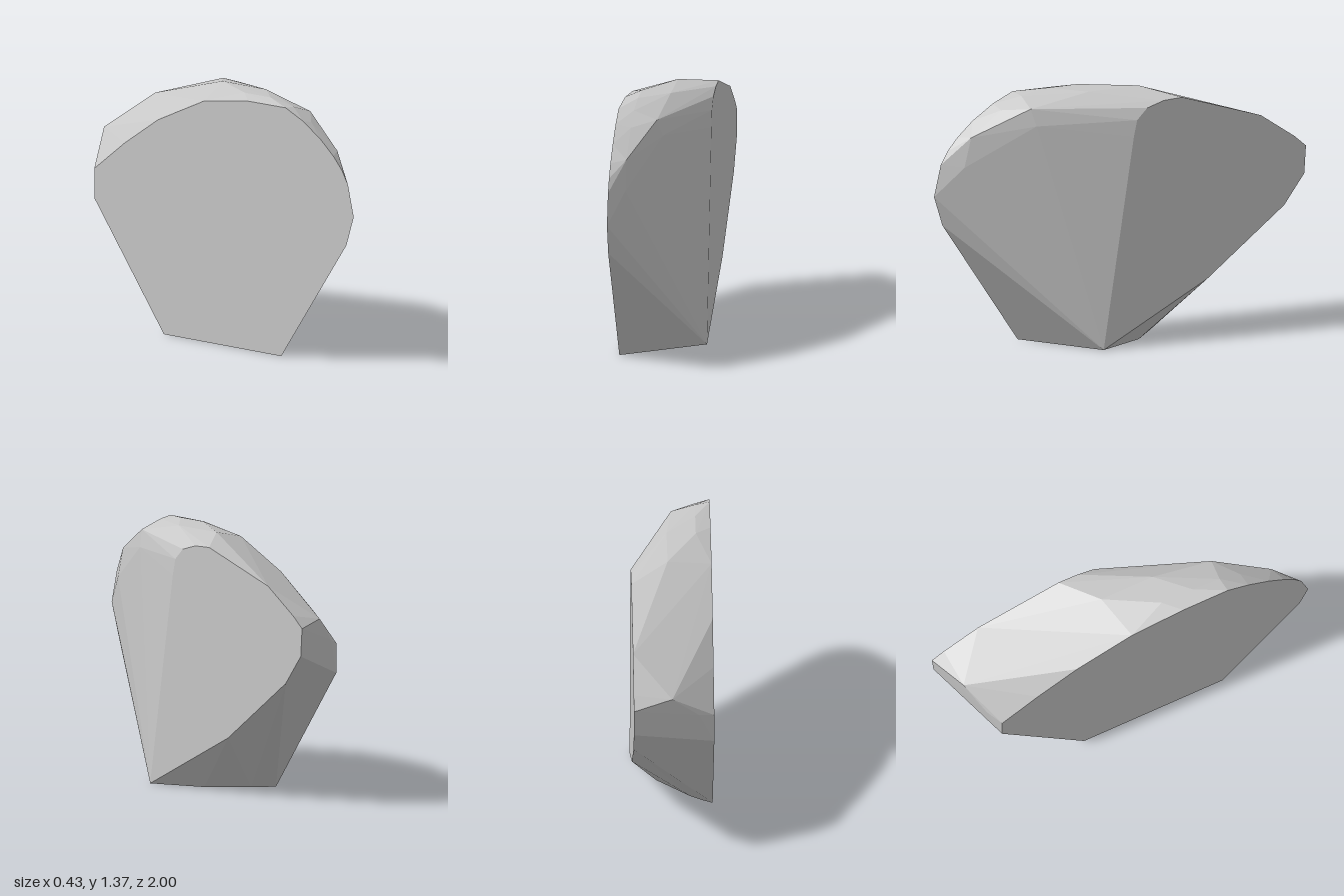
import * as THREE from 'three';
import { ConvexGeometry } from 'three/addons/geometries/ConvexGeometry.js';

// Outline of the flat left-hand slab face, as [z, y]
const wideFace = [
  [0.5, 0], [0.95, 0.67], [1, 0.83], [0.96, 1], [0.92, 1.07], [0.86, 1.14],
  [0.77, 1.22], [0.65, 1.3], [0.53, 1.355], [0.27, 1.353], [-0.03, 1.31],
  [-0.35, 1.16], [-0.58, 1.0], [-0.79, 0.83], [-0.79, 0.67], [-0.31, 0],
];

// Outline of the opposite slab face, as [z, y]
const narrowFace = [
  [0.21, 0], [0.03, 1.14], [0.01, 1.23], [-0.05, 1.29], [-0.15, 1.32],
  [-0.26, 1.325], [-0.73, 1.175], [-0.93, 1.04], [-1, 0.98], [-0.99, 0.83],
  [-0.87, 0.67], [-0.41, 0.32],
];

// Chipped corners between the two faces, as [x, y, z]
const chips = [
  // front
  [-0.135, 0.99, 0.86], [-0.135, 1.15, 0.82], [-0.135, 1.28, 0.64],
  [-0.01, 1.3, 0.53], [0.02, 1.21, 0.51], [0.03, 1.14, 0.49],
  // crown
  [-0.135, 1.345, 0.52], [-0.135, 1.372, 0.36], [-0.135, 1.372, 0.18],
  [0.02, 1.365, 0.2], [0.02, 1.366, -0.1],
  // back
  [0.01, 1.0, -0.91], [-0.135, 0.86, -0.84],
  // underside
  [0.08, 0, -0.07], [-0.1, 0, -0.24], [-0.16, 0, -0.28],
];

export function createModel() {
  const group = new THREE.Group();
  group.name = 'rock';

  const stone = new THREE.MeshStandardMaterial({ color: 0xc7c7c7 });
  stone.name = 'pale grey stone';

  // Faceted slab spanning both faces and the chips
  const points = [
    ...wideFace.map(([z, y]) => new THREE.Vector3(-0.215, y, z)),
    ...narrowFace.map(([z, y]) => new THREE.Vector3(0.215, y, z)),
    ...chips.map((p) => new THREE.Vector3(...p)),
  ];
  const slab = new THREE.Mesh(new ConvexGeometry(points), stone);
  slab.name = 'rockSlab';
  group.add(slab);
  return group;
}
